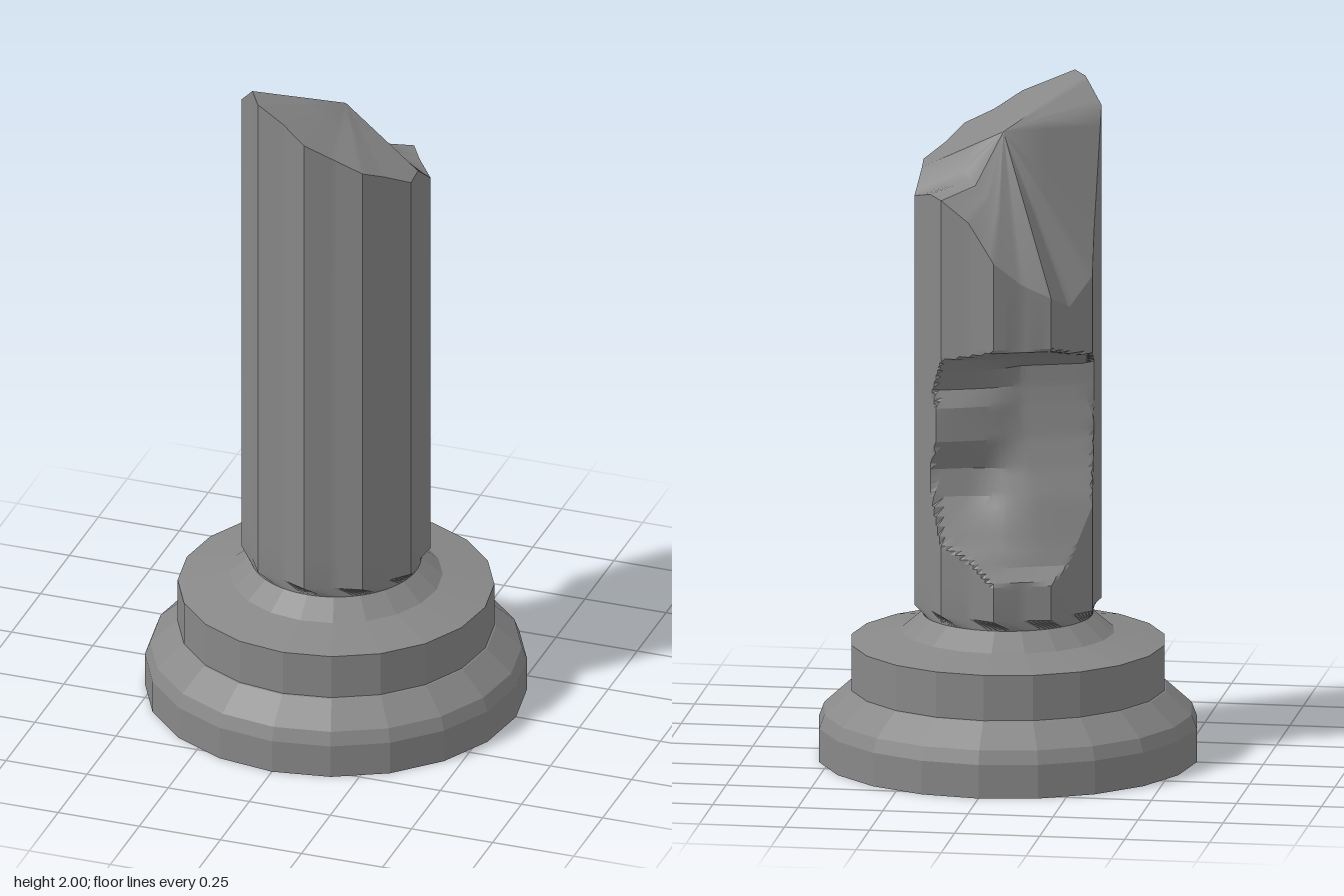
import * as THREE from 'three';
import { toCreasedNormals } from 'three/addons/utils/BufferGeometryUtils.js';

const { lerp } = THREE.MathUtils;

// Broken rim heights, every 18 degrees from +z round through +x
const RIM = [1.92, 1.87, 1.83, 1.79, 1.75, 1.745, 1.68, 1.7, 1.7, 1.64,
  1.53, 1.46, 1.42, 1.38, 1.46, 1.58, 1.93, 2, 2, 1.96];
// Bite in the back: [height, distance of the cut from the axis on the -x side, on the +x side]
const BITE = [[0.55, 0.28, 0.28], [0.61, 0.21, 0.225], [0.67, 0.19, 0.165], [0.8, 0.155, 0.09],
  [0.88, 0.125, 0.078], [0.97, 0.1, 0.12], [1.07, 0.085, 0.122], [1.12, 0.08, 0.098],
  [1.18, 0.08, 0.135], [1.22, 0.15, 0.16], [1.27, 0.28, 0.28]];
const RIDGE = 0.275, GROOVE = 0.253, SUB = 6, COLS = RIM.length * SUB, STEPS = 5;

// Point of the fluted outline at column i
function outline(i) {
  const corner = (k) => {
    const a = (k * Math.PI) / 10, r = k % 2 ? GROOVE : RIDGE;
    return new THREE.Vector3(r * Math.sin(a), 0, r * Math.cos(a));
  };
  const k = Math.floor(i / SUB);
  return corner(k).lerp(corner(k + 1), (i % SUB) / SUB);
}

function rimHeight(i) {
  const k = Math.floor(i / SUB);
  return lerp(RIM[k], RIM[(k + 1) % RIM.length], (i % SUB) / SUB);
}

const makeRing = (f) => Array.from({ length: COLS }, (_, i) => f(outline(i), i));

// Skin over a stack of rings, with sharp edges above the crease angle
function skin(rows, crease) {
  const pos = [];
  const tri = (...pts) => pts.forEach((p) => pos.push(p.x, p.y, p.z));
  for (let r = 0; r < rows.length - 1; r++) {
    for (let i = 0; i < COLS; i++) {
      const j = (i + 1) % COLS, a = rows[r], b = rows[r + 1];
      tri(a[i], a[j], b[j]);
      if (b[i] !== b[j]) tri(a[i], b[j], b[i]);
    }
  }
  const geo = new THREE.BufferGeometry();
  geo.setAttribute('position', new THREE.Float32BufferAttribute(pos, 3));
  return toCreasedNormals(geo, crease);
}

function wallRows() {
  const up = new THREE.Vector3(0, 1, 0);
  const rows = [
    // twisted foot where the flutes run out
    makeRing((p) => p.setLength(0.248).applyAxisAngle(up, 0.25).setY(0.428)),
    makeRing((p) => p.setY(0.46)),
  ];
  // wall, pulled in toward the axis where the bite crosses it
  for (let s = 0; s <= (BITE.length - 1) * STEPS; s++) {
    const k = Math.min(Math.floor(s / STEPS), BITE.length - 2), t = s / STEPS - k;
    const [y, right, left] = BITE[k].map((v, n) => lerp(v, BITE[k + 1][n], t));
    rows.push(makeRing((p) => {
      const depth = lerp(right, left, THREE.MathUtils.smoothstep(p.x, -0.2, 0.2));
      const reach = -0.31 * p.x - 0.95 * p.z;
      if (reach > depth) p.multiplyScalar(depth / reach);
      return p.setY(y);
    }));
  }
  rows.push(makeRing((p, i) => p.setY(rimHeight(i))));
  return rows;
}

// Broken top: gentle slope in front, steep one behind, hollowed at the back left
function topRows() {
  const apex = new THREE.Vector3(0, 1.88, -0.085);
  const rim = makeRing((p, i) => p.setY(rimHeight(i)));
  const middle = rim.map((p, i) => {
    const off = (i / SUB - 8.5) / 3.5;
    const q = p.clone().lerp(apex, 0.55);
    q.y -= 0.07 * Math.max(0, 1 - off * off);
    return q;
  });
  return [rim, middle, new Array(COLS).fill(apex)];
}

export function createModel() {
  const group = new THREE.Group();
  group.name = 'brokenColumn';
  const add = (name, geometry, flatShading) => {
    const mesh = new THREE.Mesh(geometry, new THREE.MeshStandardMaterial({ color: 0x888888, flatShading }));
    mesh.name = name;
    group.add(mesh);
  };

  // stepped round plinth
  const profile = [[0, 0], [0.555, 0], [0.555, 0.1], [0.54, 0.14], [0.465, 0.208],
    [0.46, 0.21], [0.46, 0.345], [0.31, 0.375], [0.245, 0.43], [0, 0.43]];
  add('base', new THREE.LatheGeometry(profile.map(([x, y]) => new THREE.Vector2(x, y)), 20), true);

  add('shaft', skin(wallRows(), 0.3), false);
  add('brokenTop', skin(topRows(), 0.75), false);
  return group;
}
